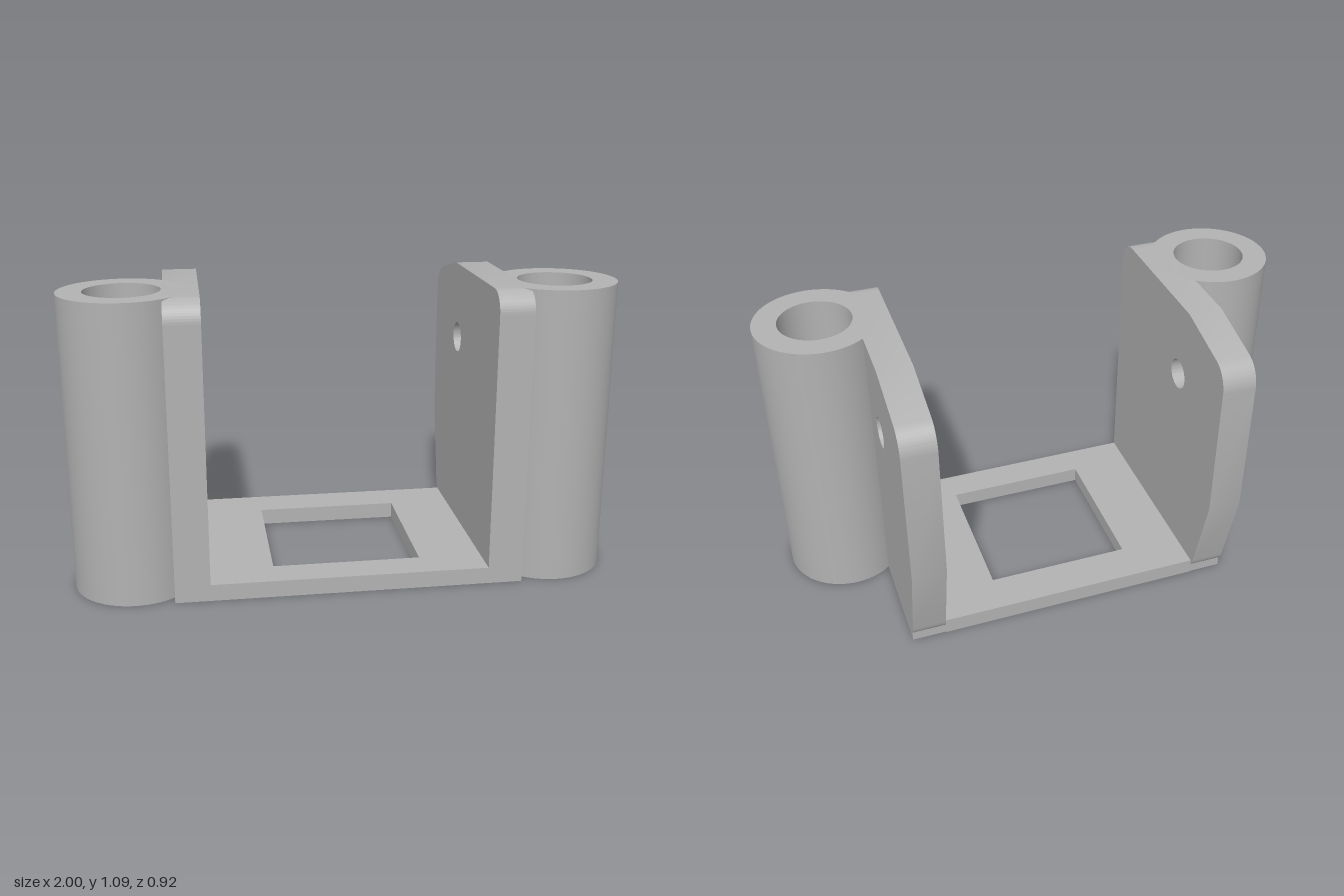
import * as THREE from 'three';
import { toCreasedNormals } from 'three/addons/utils/BufferGeometryUtils.js';

const HEIGHT = 1.09;

// Extrude a shape and keep curved walls smooth, edges sharp
function extrude(shape, depth) {
  const g = new THREE.ExtrudeGeometry(shape, { depth, bevelEnabled: false, curveSegments: 32 });
  return toCreasedNormals(g, 0.5);
}

function rectangle(path, x0, y0, x1, y1) {
  path.moveTo(x0, y0);
  path.lineTo(x1, y0);
  path.lineTo(x1, y1);
  path.lineTo(x0, y1);
  path.closePath();
  return path;
}

function circle(path, x, y, r) {
  path.absarc(x, y, r, 0, Math.PI * 2, false);
  return path;
}

export function createModel() {
  const model = new THREE.Group();
  model.name = 'bracket';
  const grey = new THREE.MeshStandardMaterial({ color: 0xb2b2b2 });
  grey.name = 'grey';

  const add = (name, geometry) => {
    const mesh = new THREE.Mesh(geometry, grey);
    mesh.name = name;
    model.add(mesh);
    return mesh;
  };

  // Base plate with a square opening (shape y runs towards the back)
  const base = rectangle(new THREE.Shape(), -0.51, -0.46, 0.51, 0.365);
  base.holes.push(rectangle(new THREE.Path(), -0.275, -0.335, 0.275, 0.215));
  add('basePlate', extrude(base, 0.062).rotateX(-Math.PI / 2));

  // Side plate profile: shape x runs towards the back, y is up
  const side = new THREE.Shape();
  side.moveTo(-0.46, 0);
  side.lineTo(0.362, 0);
  side.lineTo(0.362, 0.038);
  side.quadraticCurveTo(0.376, 0.05, 0.382, 0.08);
  side.lineTo(0.462, 0.41);
  side.lineTo(0.462, 0.935);
  side.bezierCurveTo(0.462, 0.98, 0.435, 1.02, 0.395, 1.032);
  side.lineTo(0.16, HEIGHT);
  side.lineTo(-0.38, HEIGHT);
  side.absarc(-0.38, HEIGHT - 0.08, 0.08, Math.PI / 2, Math.PI, false);
  side.closePath();
  side.holes.push(circle(new THREE.Path(), 0.11, 0.802, 0.058));

  // Upright tube section
  const ring = circle(new THREE.Shape(), 0, 0, 0.225);
  ring.holes.push(circle(new THREE.Path(), 0, 0, 0.135));

  for (const [label, s] of [['left', 1], ['right', -1]]) {
    const plate = add(label + 'SidePlate', extrude(side, 0.127).rotateY(Math.PI / 2));
    plate.position.x = s > 0 ? 0.51 : -0.637;

    const tube = add(label + 'Tube', extrude(ring, HEIGHT).rotateX(-Math.PI / 2));
    tube.position.set(s * 0.775, 0, 0.237);
  }

  return model;
}
